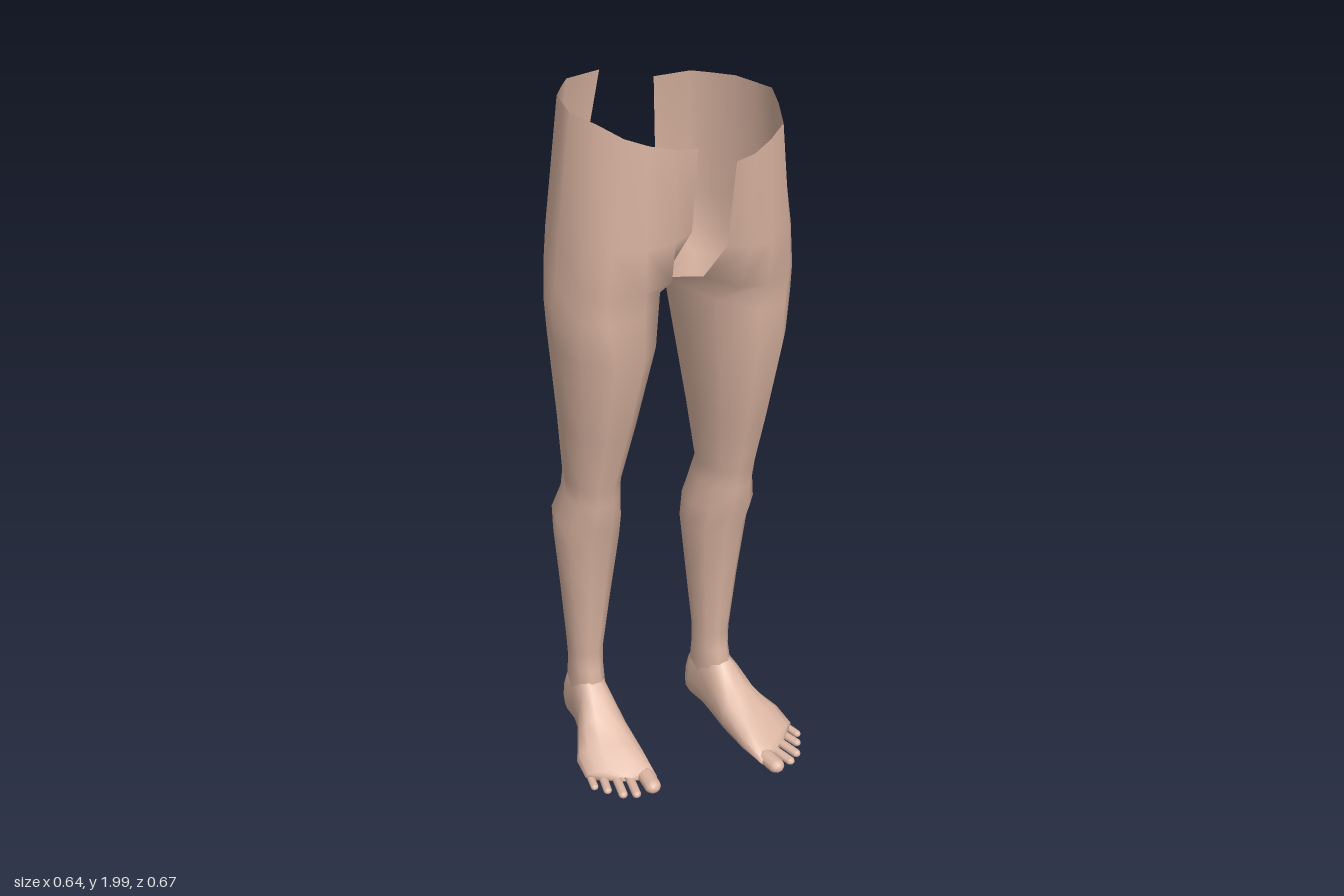
import * as THREE from 'three';
import { mergeVertices } from 'three/addons/utils/BufferGeometryUtils.js';

const skin = new THREE.MeshStandardMaterial({ color: 0xdcb6a3, side: THREE.DoubleSide });
skin.name = 'skin';

// Smooth surface through rows of points, all rows the same length
function loft(rows) {
  const cols = rows[0].length;
  const index = [];
  for (let i = 0; i < rows.length - 1; i++) {
    for (let j = 0; j < cols - 1; j++) {
      const a = i * cols + j, b = a + 1, c = a + cols, d = c + 1;
      index.push(a, c, b, b, c, d);
    }
  }
  const geo = new THREE.BufferGeometry();
  geo.setAttribute('position', new THREE.Float32BufferAttribute(rows.flat(2), 3));
  geo.setIndex(index);
  const merged = mergeVertices(geo, 1e-4);
  merged.computeVertexNormals();
  return merged;
}

function part(name, geo) {
  const mesh = new THREE.Mesh(geo, skin);
  mesh.name = name;
  return mesh;
}

// Open hip and upper thigh: from the front inner edge, round the outside, to the back inner edge
const hipRows = [
  [[0.01, 1.93, 0.265], [0.065, 1.935, 0.263], [0.13, 1.95, 0.243], [0.185, 1.97, 0.22], [0.225, 1.99, 0.15],
    [0.26, 2, 0.08], [0.25, 2, 0.02], [0.24, 2, -0.04], [0.205, 2, -0.09], [0.17, 2, -0.135], [0.07, 2, -0.155]],
  [[0.01, 1.7, 0.235], [0.065, 1.69, 0.255], [0.14, 1.68, 0.245], [0.22, 1.68, 0.215], [0.265, 1.67, 0.165],
    [0.295, 1.66, 0.06], [0.285, 1.66, 0], [0.27, 1.65, -0.07], [0.24, 1.65, -0.13], [0.2, 1.64, -0.185], [0.115, 1.64, -0.21]],
  [[0.01, 1.58, 0.14], [0.06, 1.57, 0.225], [0.14, 1.56, 0.238], [0.23, 1.55, 0.21], [0.275, 1.55, 0.165],
    [0.305, 1.54, 0.06], [0.3, 1.54, -0.01], [0.275, 1.54, -0.08], [0.23, 1.54, -0.155], [0.15, 1.55, -0.19], [0.055, 1.575, -0.165]],
  [[0.012, 1.51, -0.03], [0.05, 1.5, 0.14], [0.13, 1.48, 0.215], [0.225, 1.47, 0.2], [0.28, 1.47, 0.155],
    [0.312, 1.47, 0.05], [0.3, 1.47, -0.03], [0.265, 1.47, -0.1], [0.21, 1.47, -0.16], [0.1, 1.49, -0.165], [0.012, 1.51, -0.03]],
];

// Closed rings down the leg: y, x from, x to, z from, z to
const legRings = [
  [1.35, 0.04, 0.303, -0.135, 0.212],
  [1.1, 0.085, 0.282, -0.105, 0.15],
  [0.92, 0.118, 0.268, -0.09, 0.1],
  [0.86, 0.115, 0.267, -0.11, 0.093],
  [0.78, 0.104, 0.288, -0.14, 0.08],
  [0.7, 0.1, 0.284, -0.14, 0.052],
  [0.5, 0.125, 0.265, -0.13, 0.025],
  [0.3, 0.148, 0.25, -0.117, 0],
  [0.24, 0.15, 0.246, -0.12, 0.004],
  [0.18, 0.15, 0.248, -0.132, 0.02],
  [0.1, 0.155, 0.245, -0.138, 0.02],
];

function legRing([y, x0, x1, z0, z1]) {
  const ring = [];
  for (let j = 0; j <= 10; j++) {
    const a = (j % 10) * Math.PI / 5;
    ring.push([
      (x0 + x1) / 2 - (x1 - x0) / 2 * Math.cos(a),
      y,
      (z0 + z1) / 2 + (z1 - z0) / 2 * Math.sin(a) / 0.951,
    ]);
  }
  return ring;
}

// Foot sections from toes to heel: z, x from, x to, y from, y to, slant
const footSections = [
  [0.25, 0.2, 0.255, 0.02, 0.035, 0.5],
  [0.235, 0.135, 0.32, 0.01, 0.052, 0.5],
  [0.16, 0.13, 0.318, 0.008, 0.088, 0.35],
  [0.08, 0.135, 0.288, 0.01, 0.135, 0.15],
  [0.02, 0.142, 0.265, 0.014, 0.2, 0],
  [-0.04, 0.148, 0.252, 0.016, 0.24, 0],
  [-0.1, 0.15, 0.25, 0.014, 0.22, 0],
  [-0.13, 0.16, 0.242, 0.018, 0.17, 0],
  [-0.145, 0.178, 0.224, 0.035, 0.13, 0],
  [-0.146, 0.2, 0.2, 0.08, 0.08, 0],
];

function footRing([z, x0, x1, y0, y1, slant]) {
  const ring = [], cx = (x0 + x1) / 2, cy = y0 + (y1 - y0) * 0.35;
  for (let j = 0; j <= 14; j++) {
    const a = (j % 14) * Math.PI / 7, s = Math.sin(a), c = Math.cos(a);
    const dx = (x1 - x0) / 2 * Math.sign(c) * Math.abs(c) ** 0.85;
    const dy = s > 0 ? (y1 - cy) * s : -(cy - y0) * Math.abs(s) ** 0.6;
    ring.push([cx + dx, cy + dy, z - slant * dx]);
  }
  return ring;
}

// Toes, big to little: base x, base z, tip x, tip z, radius
const toes = [
  [0.163, 0.24, 0.166, 0.334, 0.025],
  [0.203, 0.22, 0.219, 0.325, 0.0135],
  [0.238, 0.21, 0.254, 0.309, 0.0135],
  [0.268, 0.18, 0.286, 0.272, 0.0125],
  [0.298, 0.15, 0.312, 0.24, 0.0115],
];

function toeGeometry([bx, bz, tx, tz, r]) {
  const dx = tx - bx, dz = tz - bz, length = Math.hypot(dx, dz);
  const geo = new THREE.CapsuleGeometry(r, length - 2 * r, 4, 10);
  geo.rotateX(Math.PI / 2);
  geo.scale(1, 0.85, 1);
  geo.rotateX(0.06);
  geo.rotateY(Math.atan2(dx, dz));
  geo.translate((bx + tx) / 2, 0.012 + r * 0.6, (bz + tz) / 2);
  return geo;
}

function makeLeg(name) {
  const leg = new THREE.Group();
  leg.name = name;
  leg.add(part('thighAndShin', loft([...hipRows, ...legRings.map(legRing)])));
  leg.add(part('foot', loft(footSections.map(footRing))));
  toes.forEach((toe, i) => leg.add(part('toe' + (i + 1), toeGeometry(toe))));
  return leg;
}

export function createModel() {
  const model = new THREE.Group();
  model.name = 'legs';
  model.add(makeLeg('leftLeg'));

  // Right leg: mirrored, turned outward and set back
  const right = makeLeg('rightLeg');
  right.scale.x = -1;
  right.rotation.y = -0.15;
  right.position.set(0.033, 0, -0.111);
  model.add(right);
  return model;
}
